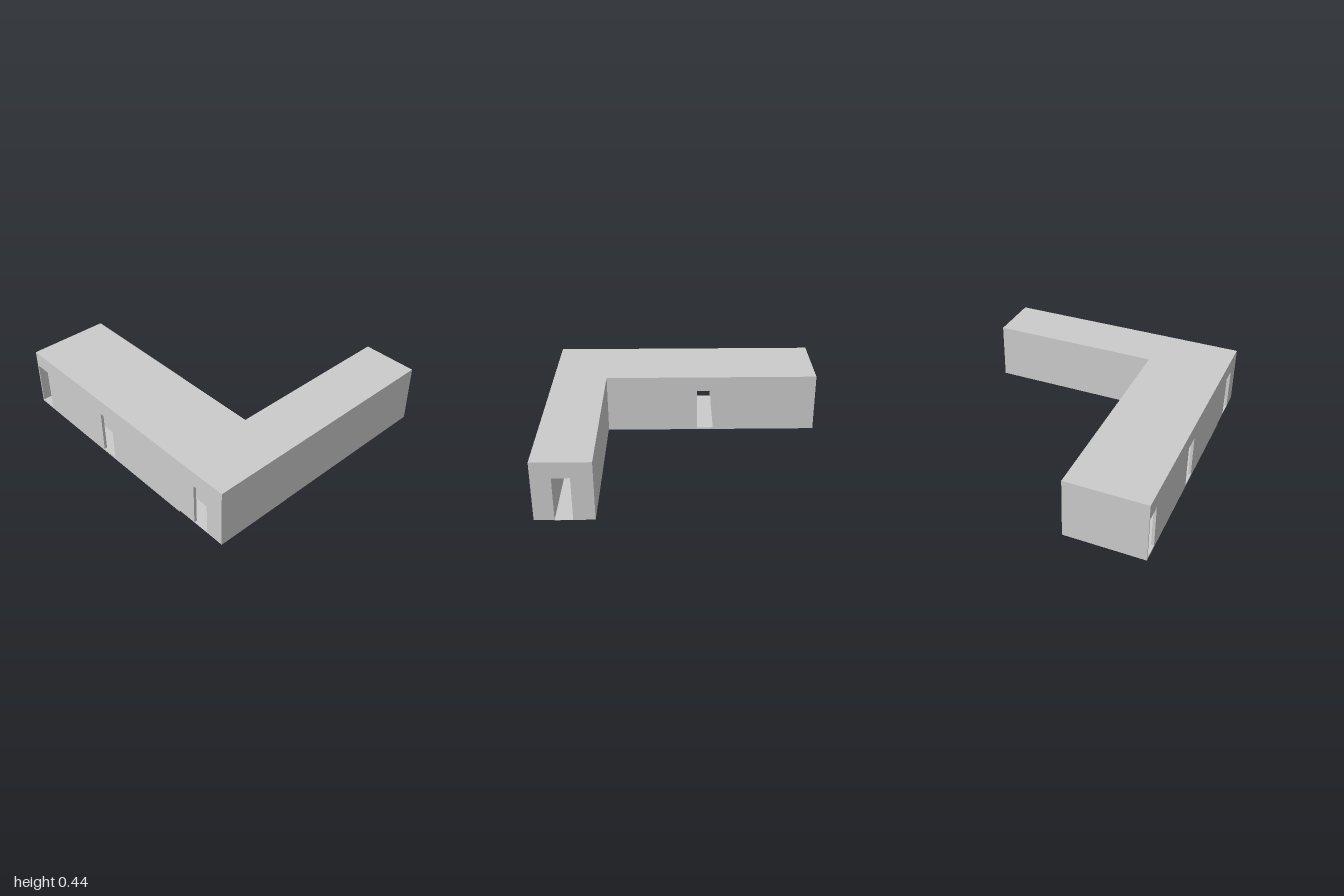
import * as THREE from 'three';

const material = new THREE.MeshStandardMaterial({ color: 0xcccccc, flatShading: true });

// Main levels and lines of the plan
const LEFT = -0.92, RIGHT = 0.92, BACK = -1, FRONT = 1;
const INNER_X = -0.34, INNER_Z = 0.6;      // inner corner of the L
const HALL_X = -0.77;                      // inner wall of the hall along the long wing
const FLOOR = 0.015, DOOR_TOP = 0.33, TOP = 0.445;
const DOORS = [[-0.99, -0.87], [-0.215, -0.09], [0.745, 0.865]]; // z ranges
const T = 0.006;                           // thin wall

export function createModel() {
  const model = new THREE.Group();

  // Box given by its limits on each axis
  function block(name, [x0, x1], [y0, y1], [z0, z1], parent = model) {
    const mesh = new THREE.Mesh(new THREE.BoxGeometry(x1 - x0, y1 - y0, z1 - z0), material);
    mesh.position.set((x0 + x1) / 2, (y0 + y1) / 2, (z0 + z1) / 2);
    mesh.name = name;
    parent.add(mesh);
    return mesh;
  }
  const storey = [FLOOR, DOOR_TOP];

  // L-shaped roof, from the door heads up
  const plan = new THREE.Shape([
    [LEFT, -FRONT], [RIGHT, -FRONT], [RIGHT, -INNER_Z],
    [INNER_X, -INNER_Z], [INNER_X, -BACK], [LEFT, -BACK],
  ].map(([x, y]) => new THREE.Vector2(x, y)));
  const roofGeometry = new THREE.ExtrudeGeometry(plan, { depth: TOP - DOOR_TOP, bevelEnabled: false });
  roofGeometry.rotateX(-Math.PI / 2);
  const roof = new THREE.Mesh(roofGeometry, material);
  roof.position.y = DOOR_TOP;
  roof.name = 'roof';
  model.add(roof);

  // Floors: slab of the long wing, thin floors of the corner and the passage
  const [passageBack, passageFront] = DOORS[2];
  block('longWingFloor', [LEFT, INNER_X], [0, FLOOR], [BACK, INNER_Z]);
  block('cornerFloor', [LEFT, INNER_X], [FLOOR - 0.002, FLOOR], [INNER_Z, FRONT]);
  block('passageFloor', [INNER_X, RIGHT], [FLOOR - 0.002, FLOOR], [passageBack, passageFront]);

  // Long outer wall with three doorways
  const outerWall = new THREE.Group();
  outerWall.name = 'outerWall';
  model.add(outerWall);
  let start = BACK;
  for (const [z0, z1] of [...DOORS, [FRONT, FRONT]]) {
    block('outerWallPiece', [LEFT, LEFT + 0.02], storey, [start, z0], outerWall);
    start = z1;
  }
  block('hallBackWall', [LEFT + 0.02, HALL_X], storey, [BACK, BACK + 0.01]);
  block('hallFrontWall', [LEFT + 0.02, HALL_X], storey, [FRONT - 0.01, FRONT]);

  // Room blocks of the long wing, with the cross passages between them
  for (const range of [[BACK, DOORS[1][0]], [DOORS[1][1], passageBack], [passageFront, FRONT]])
    block('roomBlock', [HALL_X, INNER_X], storey, range);

  // Short wing: two rows of rooms open below, on both sides of the passage
  for (const [z0, z1] of [[INNER_Z, passageBack], [passageFront, FRONT]]) {
    const row = new THREE.Group();
    row.name = 'roomRow';
    model.add(row);
    block('rowBackWall', [INNER_X, RIGHT], storey, [z0, z0 + T], row);
    block('rowFrontWall', [INNER_X, RIGHT], storey, [z1 - T, z1], row);
    block('rowEndWall', [RIGHT - T, RIGHT], storey, [z0 + T, z1 - T], row);
  }

  return model;
}
